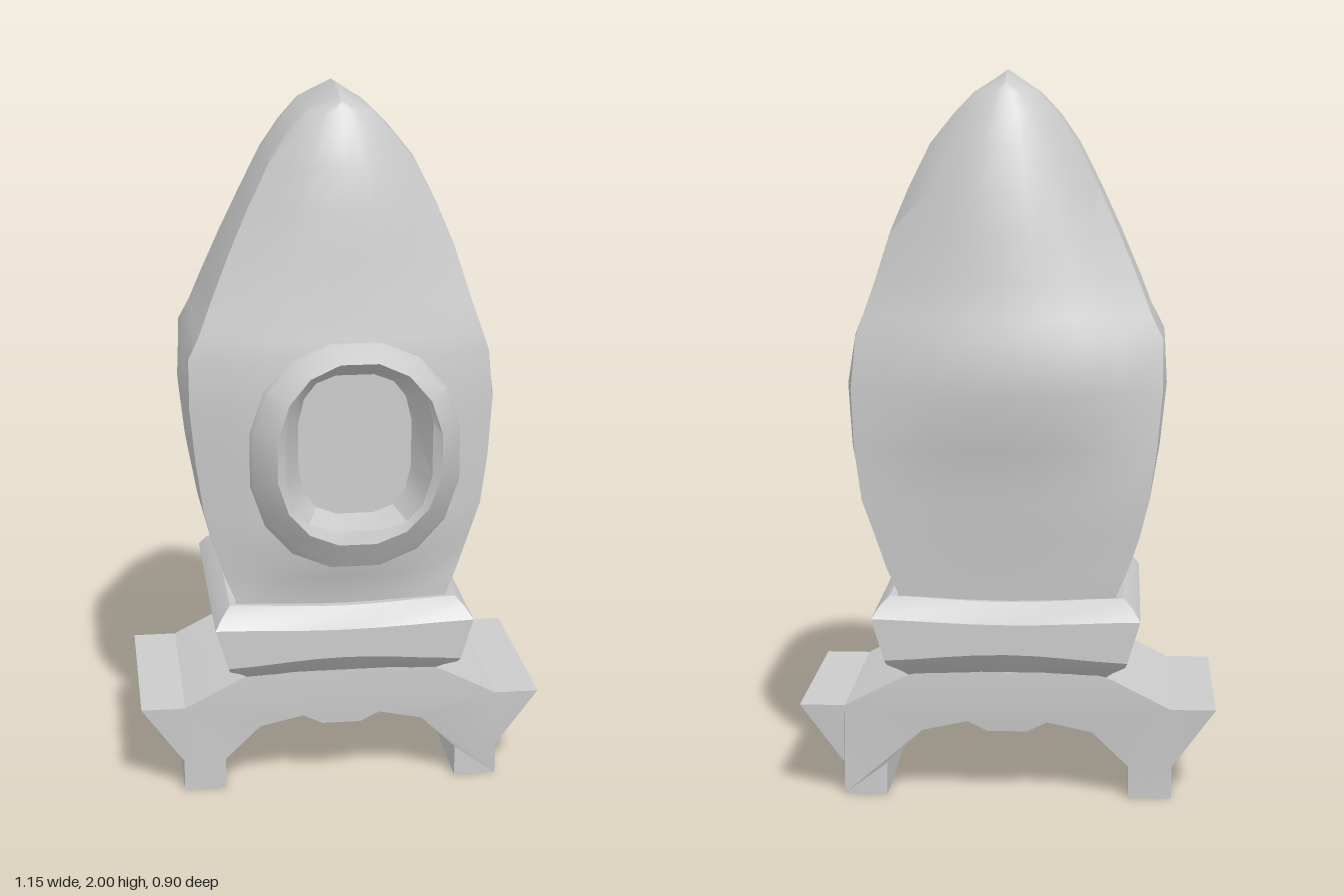
import * as THREE from 'three';
import { toCreasedNormals } from 'three/addons/utils/BufferGeometryUtils.js';

const material = new THREE.MeshStandardMaterial({ color: 0xcccccc, side: THREE.DoubleSide });

function part(name, geometry, crease = 0.6) {
  const mesh = new THREE.Mesh(toCreasedNormals(geometry, crease), material);
  mesh.name = name;
  return mesh;
}

// Skins a stack of closed rings (arrays of [x, y, z], all the same length).
function loft(rings) {
  const n = rings[0].length, index = [];
  for (let i = 0; i < rings.length - 1; i++) {
    for (let j = 0; j < n; j++) {
      const k = (j + 1) % n;
      const a = i * n + j, b = i * n + k, c = b + n, d = a + n;
      index.push(a, b, c, a, c, d);
    }
  }
  const geometry = new THREE.BufferGeometry();
  geometry.setAttribute('position', new THREE.Float32BufferAttribute(rings.flat(2), 3));
  geometry.setIndex(index);
  return geometry;
}

// Four-cornered ring: front, left, back and right sides, each bowed outwards.
function bowedRing(y, x0, x1, zf, zb, bow, steps = 8) {
  const ring = [];
  for (let side = 0; side < 4; side++) {
    for (let s = 0; s < steps; s++) {
      const u = s / steps, t = 2 * u - 1;
      const bulge = 1 - Math.abs(t) ** 2.3;
      if (side === 0) ring.push([x0 + (x1 - x0) * u, y, zf + bow.front * bulge]);
      if (side === 1) ring.push([x1 + bow.side * bulge, y, zf + (zb - zf) * u]);
      if (side === 2) ring.push([x1 + (x0 - x1) * u, y, zb - bow.back * bulge]);
      if (side === 3) ring.push([x0 - bow.side * bulge * 0.5, y, zb + (zf - zb) * u]);
    }
  }
  return ring;
}

// Hood: tall tapering shell that closes in a ridge running front to back.
function makeHood() {
  // y, right x, left x, front corner z, back corner z, front bow, back bow, side bow
  const sections = [
    [0.50, -0.29, 0.29, 0.20, -0.34, 0.00, 0.00, 0.00],
    [0.58, -0.30, 0.30, 0.21, -0.35, 0.00, 0.00, 0.00],
    [0.65, -0.33, 0.33, 0.20, -0.355, 0.03, 0.00, 0.00],
    [0.74, -0.36, 0.36, 0.20, -0.36, 0.065, 0.01, 0.01],
    [0.84, -0.385, 0.395, 0.195, -0.365, 0.07, 0.015, 0.015],
    [0.98, -0.405, 0.415, 0.19, -0.36, 0.08, 0.04, 0.025],
    [1.14, -0.42, 0.425, 0.19, -0.34, 0.085, 0.11, 0.03],
    [1.28, -0.42, 0.415, 0.18, -0.31, 0.085, 0.12, 0.015],
    [1.34, -0.39, 0.395, 0.175, -0.29, 0.08, 0.125, 0.01],
    [1.43, -0.355, 0.365, 0.155, -0.265, 0.08, 0.13, 0.01],
    [1.56, -0.30, 0.325, 0.125, -0.235, 0.095, 0.145, 0.01],
    [1.68, -0.245, 0.275, 0.10, -0.21, 0.10, 0.145, 0.01],
    [1.80, -0.185, 0.215, 0.085, -0.205, 0.095, 0.12, 0.01],
    [1.88, -0.13, 0.15, 0.08, -0.205, 0.07, 0.09, 0.01],
    [1.94, -0.075, 0.095, 0.08, -0.21, 0.04, 0.055, 0.005],
  ];
  const rings = sections.map(([y, x0, x1, zf, zb, front, back, side]) =>
    bowedRing(y, x0, x1, zf, zb, { front, back, side }));
  const top = bowedRing(2, 0, 0.02, 0.085, -0.215, { front: 0.025, back: 0.035, side: 0 });
  rings.push(top.map(([, , z]) => [0.01, 2 - 1.1 * (z + 0.07) ** 2, z]));
  return part('hood', loft(rings), 0.65);
}

// Collar: square band whose front and back edges wave in the middle.
function makeCollar() {
  // y, half width, front z, back z, height change at mid front and back
  const sections = [
    [0.31, 0.25, 0.19, -0.335, 0.02],
    [0.345, 0.27, 0.205, -0.345, 0.015],
    [0.365, 0.29, 0.23, -0.37, 0.0],
    [0.395, 0.325, 0.28, -0.42, 0.02],
    [0.41, 0.33, 0.293, -0.433, 0.02],
    [0.525, 0.365, 0.293, -0.433, -0.012],
    [0.555, 0.345, 0.27, -0.41, -0.025],
    [0.578, 0.32, 0.235, -0.375, -0.015],
    [0.57, 0.30, 0.20, -0.345, -0.01],
    [0.52, 0.28, 0.19, -0.33, 0],
  ];
  const straight = { front: 0, back: 0, side: 0 };
  const rings = sections.map(([y, w, zf, zb, wave]) =>
    bowedRing(y, -w, w, zf, zb, straight).map(([x, h, z]) =>
      [x, h + wave * Math.cos(Math.PI / 2 * x / w) ** 1.5 || h, z]));
  return part('collar', loft(rings), 0.5);
}

// Porthole: flared frame around a recessed oval pane.
function makePorthole() {
  // centre x, centre y, x radius, y radius, z, bend along y
  const sections = [
    [0.015, 1.03, 0.23, 0.27, 0.18, 0],
    [0.015, 1.03, 0.24, 0.275, 0.295, 0],
    [0.018, 1.04, 0.292, 0.322, 0.35, 0],
    [0.018, 1.045, 0.285, 0.31, 0.375, 0.1],
    [0.02, 1.06, 0.225, 0.262, 0.448, 0.5],
    [0.02, 1.075, 0.20, 0.238, 0.43, 0.5],
    [0.025, 1.055, 0.158, 0.2, 0.29, 0],
    [0.025, 1.055, 0, 0, 0.288, 0],
  ];
  const sides = 16;
  const rings = sections.map(([cx, cy, rx, ry, z, bend], i) => {
    const power = i > 4 ? 0.68 : 0.9; // the opening is squarer than the frame
    return Array.from({ length: sides }, (_, j) => {
      const a = (j + 0.5) / sides * Math.PI * 2;
      const round = v => Math.sign(v) * Math.abs(v) ** power;
      const y = cy + ry * round(Math.sin(a));
      return [cx + rx * round(Math.cos(a)), y, z - bend * (y - 1.12) ** 2];
    });
  });
  return part('porthole', loft(rings), 0.5);
}

// Base: arched saddle on two feet, slightly deeper at the top.
function makeBase() {
  const half = [[0, 0.19], [0.055, 0.19], [0.11, 0.218], [0.235, 0.19], [0.335, 0.09], [0.335, 0],
    [0.455, 0], [0.455, 0.09], [0.575, 0.26], [0.45, 0.26], [0.29, 0.342], [0.2, 0.37], [0, 0.36]];
  const mirrored = half.slice(1, -1).reverse().map(([x, y]) => [-x, y]);
  const shape = new THREE.Shape([...half, ...mirrored].map(p => new THREE.Vector2(...p)));
  const geometry = new THREE.ExtrudeGeometry(shape, { depth: 1, bevelEnabled: false });
  const pos = geometry.attributes.position;
  for (let i = 0; i < pos.count; i++) {
    const t = THREE.MathUtils.clamp((pos.getY(i) - 0.09) / 0.17, 0, 1);
    pos.setZ(i, pos.getZ(i) > 0.5 ? 0.198 + 0.012 * t : -0.335 - 0.02 * t);
  }
  return part('base', geometry, 0.3);
}

export function createModel() {
  const group = new THREE.Group();
  group.name = 'hoodedLantern';
  group.add(makeHood(), makeCollar(), makePorthole(), makeBase());
  return group;
}
